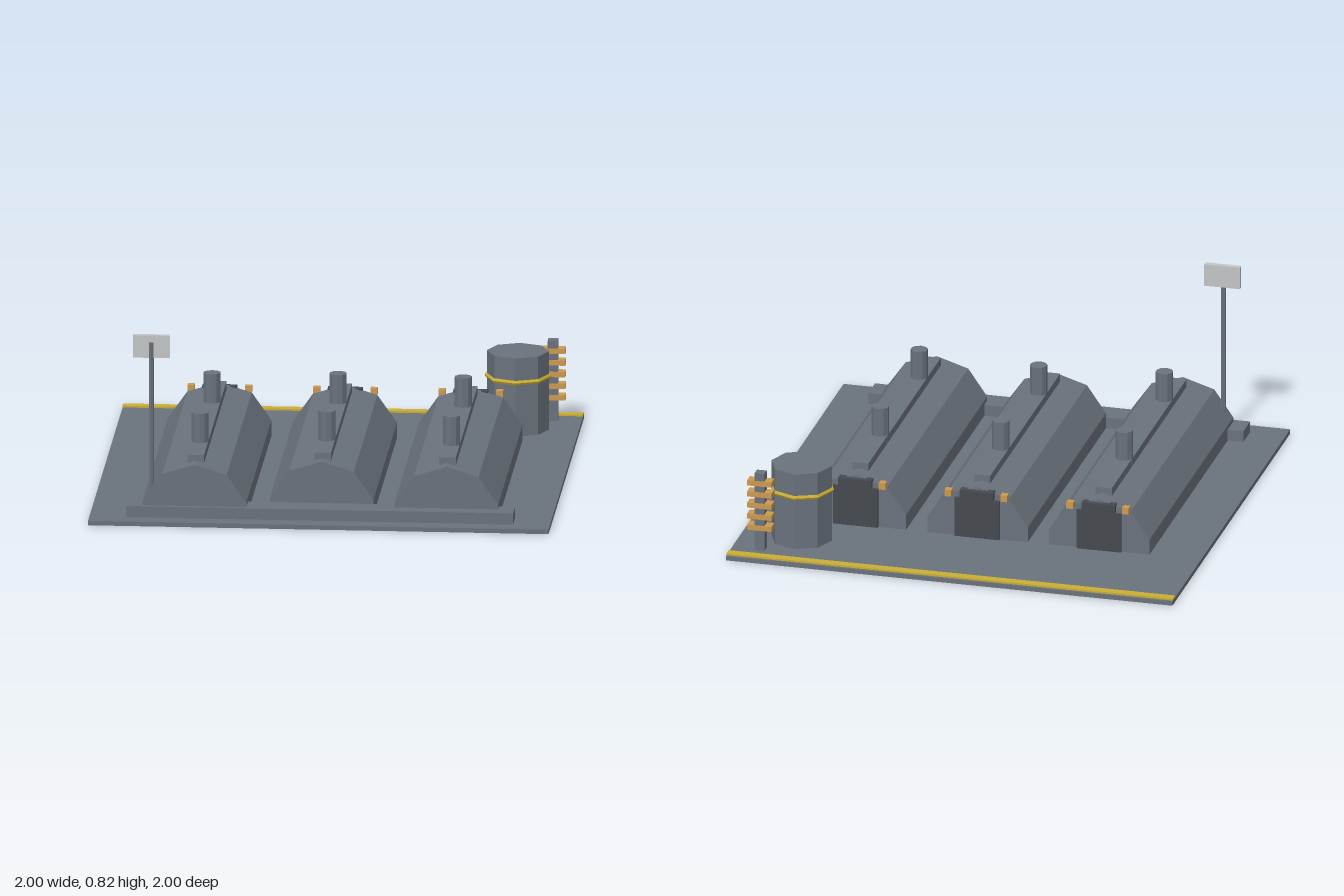
import * as THREE from 'three';

export function createModel() {
  const root = new THREE.Group();
  root.name = 'bunkerCompound';

  const makeMaterial = (name, color) => {
    const m = new THREE.MeshStandardMaterial({ color, flatShading: true });
    m.name = name;
    return m;
  };
  const concrete = makeMaterial('concreteGrey', 0x6a727c);
  const dark = makeMaterial('darkSteel', 0x454a50);
  const yellow = makeMaterial('warningYellow', 0xc9ae35);
  const amber = makeMaterial('amber', 0xcc9a50);
  const pale = makeMaterial('paleGrey', 0xc2c4c6);

  const add = (parent, name, geometry, material) => {
    const mesh = new THREE.Mesh(geometry, material);
    mesh.name = name;
    parent.add(mesh);
    return mesh;
  };
  // Box given by its limits on each axis
  const box = (parent, name, material, [x0, x1], [y0, y1], [z0, z1]) => {
    const mesh = add(parent, name, new THREE.BoxGeometry(x1 - x0, y1 - y0, z1 - z0), material);
    mesh.position.set((x0 + x1) / 2, (y0 + y1) / 2, (z0 + z1) / 2);
    return mesh;
  };
  // Upright cylinder standing between two heights
  const post = (parent, name, material, r, sides, x, z, y0, y1) => {
    const mesh = add(parent, name, new THREE.CylinderGeometry(r, r, y1 - y0, sides), material);
    mesh.position.set(x, (y0 + y1) / 2, z);
    return mesh;
  };

  // Ground slab, rear warning stripe and front kerb
  box(root, 'groundSlab', concrete, [-1, 1], [0, 0.02], [-1, 1]);
  box(root, 'rearStripe', yellow, [-1, 1], [0.02, 0.028], [-0.99, -0.95]);
  box(root, 'frontKerb', concrete, [-0.84, 0.84], [0.02, 0.07], [0.81, 0.925]);

  // Earth-sheltered bunkers with a faceted roof profile
  const back = -0.515;
  const profile = new THREE.Shape([
    [-0.225, 0.02], [0.225, 0.02], [0.225, 0.09], [0.14, 0.212],
    [0, 0.255], [-0.14, 0.212], [-0.225, 0.09],
  ].map(([x, y]) => new THREE.Vector2(x, y)));

  const bunkers = [
    { x: -0.545, front: 0.905, ridge: 0.83, vents: [-0.09, 0.59] },
    { x: 0, front: 0.81, ridge: 0.75, vents: [-0.12, 0.52] },
    { x: 0.545, front: 0.86, ridge: 0.79, vents: [-0.1, 0.56] },
  ];
  for (const b of bunkers) {
    const bunker = new THREE.Group();
    bunker.name = 'bunker';
    bunker.position.x = b.x;
    root.add(bunker);

    const shell = add(bunker, 'shell',
      new THREE.ExtrudeGeometry(profile, { depth: b.front - back, bevelEnabled: false }), concrete);
    shell.position.z = back;

    box(bunker, 'roofRidge', concrete, [-0.036, 0.036], [0.235, 0.28], [-0.44, b.ridge]);
    for (const z of b.vents) post(bunker, 'vent', concrete, 0.038, 10, 0, z, 0.245, 0.41);

    // Rear door, lintel and lamps
    box(bunker, 'door', dark, [-0.1, 0.1], [0.02, 0.2], [-0.527, back]);
    box(bunker, 'lintel', dark, [-0.075, 0.075], [0.205, 0.241], [-0.538, -0.5]);
    for (const s of [-1, 1]) {
      const c = s * 0.125;
      box(bunker, 'lamp', amber, [c - 0.015, c + 0.015], [0.21, 0.24], [-0.547, back]);
    }
  }

  // Storage tank with a band
  const tankX = 0.735, tankZ = -0.715;
  post(root, 'tank', concrete, 0.135, 8, tankX, tankZ, 0.02, 0.37);
  const band = add(root, 'tankBand', new THREE.TorusGeometry(0.134, 0.011, 6, 8), yellow);
  band.rotation.x = Math.PI / 2;
  band.position.set(tankX, 0.26, tankZ);

  // Insulator post with stacked fins
  box(root, 'insulatorPost', concrete, [0.853, 0.897], [0.02, 0.38], [-0.903, -0.859]);
  for (let i = 0; i < 5; i++) {
    const y = 0.125 + i * 0.052;
    box(root, 'insulatorFin', amber, [0.82, 0.93], [y - 0.012, y + 0.012], [-0.905, -0.857]);
  }

  // Sign board on a slim pole
  post(root, 'signPole', concrete, 0.012, 6, -0.735, 0.871, 0.02, 0.79);
  box(root, 'signBoard', pale, [-0.815, -0.655], [0.72, 0.82], [0.845, 0.869]);

  return root;
}
